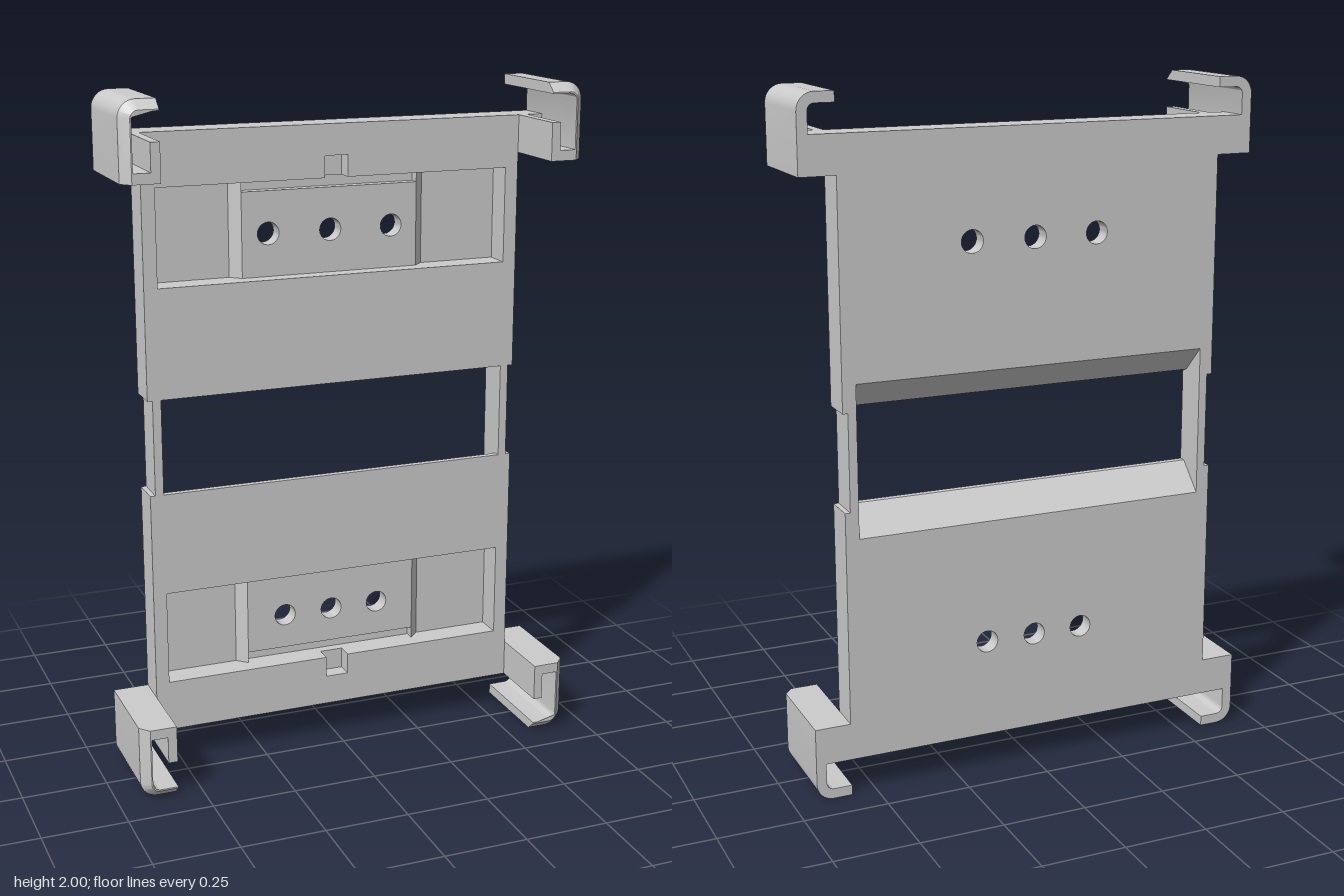
import * as THREE from 'three';
import { toCreasedNormals } from 'three/addons/utils/BufferGeometryUtils.js';

const BACK = -0.155, FLOOR = -0.135, SHELF = -0.105, FACE = -0.055, TIP = 0.155;
const HALF = 0.575, INNER = 0.535; // half widths of the plate and of its openings
const POCKET_LOW = 1.455, POCKET_TOP = 1.737, PLATE_TOP = 1.89, CLIP_LOW = 1.78;
const material = new THREE.MeshStandardMaterial({ color: 0xcccccc });

const rect = (x0, y0, x1, y1) => [[x0, y0], [x1, y0], [x1, y1], [x0, y1]];
const toPoints = (pts) => pts.map(([x, y]) => new THREE.Vector2(x, y));

function arc(cx, cy, r, a0, a1, n = 8) {
  return Array.from({ length: n + 1 }, (_, i) => {
    const a = a0 + (a1 - a0) * i / n;
    return [cx + r * Math.cos(a), cy + r * Math.sin(a)];
  });
}

// Extrude an outline with holes between two depths; the outline always runs
// counter-clockwise so that the hole walls face inward
function prism(outline, holes, z0, z1, steps = 1) {
  const pts = toPoints(outline);
  if (THREE.ShapeUtils.isClockWise(pts)) pts.reverse();
  const shape = new THREE.Shape(pts);
  shape.holes = holes.map((h) => new THREE.Path(toPoints(h)));
  const geo = new THREE.ExtrudeGeometry(shape, { depth: z1 - z0, bevelEnabled: false, steps });
  return geo.translate(0, 0, z0);
}

function add(parent, name, geo) {
  const mesh = new THREE.Mesh(toCreasedNormals(geo, 0.6), material);
  mesh.name = name;
  parent.add(mesh);
}

// One half of the plate, laid out as the upper half; s = -1 mirrors it about y = 1
function plateHalf(s, sill, holeY, spacing) {
  const group = new THREE.Group();
  group.name = s > 0 ? 'upperPlate' : 'lowerPlate';
  const flip = (pts) => pts.map(([x, y]) => [x, s > 0 ? y : 2 - y]);
  const slab = (name, outline, holes, z0, z1) =>
    add(group, name, prism(flip(outline), holes.map(flip), z0, z1));

  const bevel = sill + 0.08;
  const body = rect(-HALF, bevel, HALF, PLATE_TOP);
  const screwHoles = [-1, 0, 1].map((i) => arc(i * spacing, holeY, 0.033, 0, Math.PI * 2, 24).slice(0, -1));
  const pocket = rect(-INNER, POCKET_LOW, INNER, POCKET_TOP);
  const notchedPocket = [[-INNER, POCKET_LOW], [INNER, POCKET_LOW], [INNER, POCKET_TOP],
    [0.035, POCKET_TOP], [0.035, 1.8], [-0.035, 1.8], [-0.035, POCKET_TOP], [-INNER, POCKET_TOP]];

  slab('backPanel', body, screwHoles, BACK, FLOOR);
  slab('pocketFrame', body, [pocket], FLOOR, SHELF);
  slab('notchedFrame', body, [notchedPocket], SHELF, FACE);
  slab('raisedPad', rect(-0.27, POCKET_LOW, 0.27, 1.703), screwHoles, FLOOR, SHELF);

  for (const side of [-1, 1]) {
    // Sloped flanks of the raised pad
    const ramp = [[0.27 * side, -FLOOR], [0.3 * side, -FLOOR], [0.27 * side, -SHELF]];
    const low = s > 0 ? POCKET_LOW : 2 - POCKET_TOP;
    const high = s > 0 ? POCKET_TOP : 2 - POCKET_LOW;
    add(group, 'padRamp', prism(ramp, [], low, high).rotateX(-Math.PI / 2));
    // Square cheeks beside the bevelled window edge
    slab('windowCheek', rect(INNER * side, sill, HALF * side, bevel), [], BACK, FACE);
  }

  // Window edge: narrow lip at the front, bevelled toward the back
  const edge = flip([[-FACE, sill], [-FACE, bevel], [-BACK, bevel], [-FACE + 0.02, sill]]);
  add(group, 'windowBevel', prism(edge, [], -INNER, INNER).rotateY(Math.PI / 2));
  return group;
}

// Corner clip: outer wall with rounded lip, floor and short inner wall
function cornerClip(sx, sy) {
  const group = new THREE.Group();
  group.name = `${sy > 0 ? 'upper' : 'lower'}${sx > 0 ? 'Left' : 'Right'}Clip`;
  const flip = (pts) => pts.map(([x, y]) => [x * sx, sy > 0 ? y : 2 - y]);
  const cx = 0.63, cy = 1.95;
  const profile = [
    [HALF, CLIP_LOW], [0.68, CLIP_LOW],
    ...arc(cx, cy, 0.05, 0, Math.PI / 2),
    [HALF, 2], [HALF, 1.97],
    ...arc(cx, cy, 0.02, Math.PI / 2, 0),
    [0.65, 1.81], [0.602, 1.81], [0.602, PLATE_TOP], [HALF, PLATE_TOP],
  ];
  const geo = prism(flip(profile), [], BACK, TIP, 2);

  // Taper the outer skin over the last stretch to the tip
  const p = geo.attributes.position;
  for (let i = 0; i < p.count; i++) {
    const z = p.getZ(i);
    if (Math.abs(z) < 0.01) p.setZ(i, TIP - 0.03);
    if (z < TIP - 0.001) continue;
    const x = p.getX(i) * sx, y = sy > 0 ? p.getY(i) : 2 - p.getY(i);
    const dx = Math.max(0, x - cx), dy = Math.max(0, y - cy), r = Math.hypot(dx, dy);
    if (r <= 0.024) continue;
    const k = 1 - 0.024 / r;
    const ny = y - dy * k;
    p.setXY(i, (x - dx * k) * sx, sy > 0 ? ny : 2 - ny);
  }
  add(group, 'clipShell', geo);
  add(group, 'clipBack', prism(flip(rect(0.602, 1.81, 0.65, PLATE_TOP)), [], BACK, FACE));
  return group;
}

export function createModel() {
  const model = new THREE.Group();
  model.name = 'mountingBracket';
  model.add(plateHalf(1, 1.133, 1.58, 0.19));
  model.add(plateHalf(-1, 1.15, 1.598, 0.15));
  for (const sx of [-1, 1]) {
    // Thin rails joining the halves at the window
    add(model, 'sideRail', prism(rect(INNER * sx, 0.85, 0.56 * sx, 1.133), [], BACK, FACE));
    for (const sy of [-1, 1]) model.add(cornerClip(sx, sy));
  }
  return model;
}
